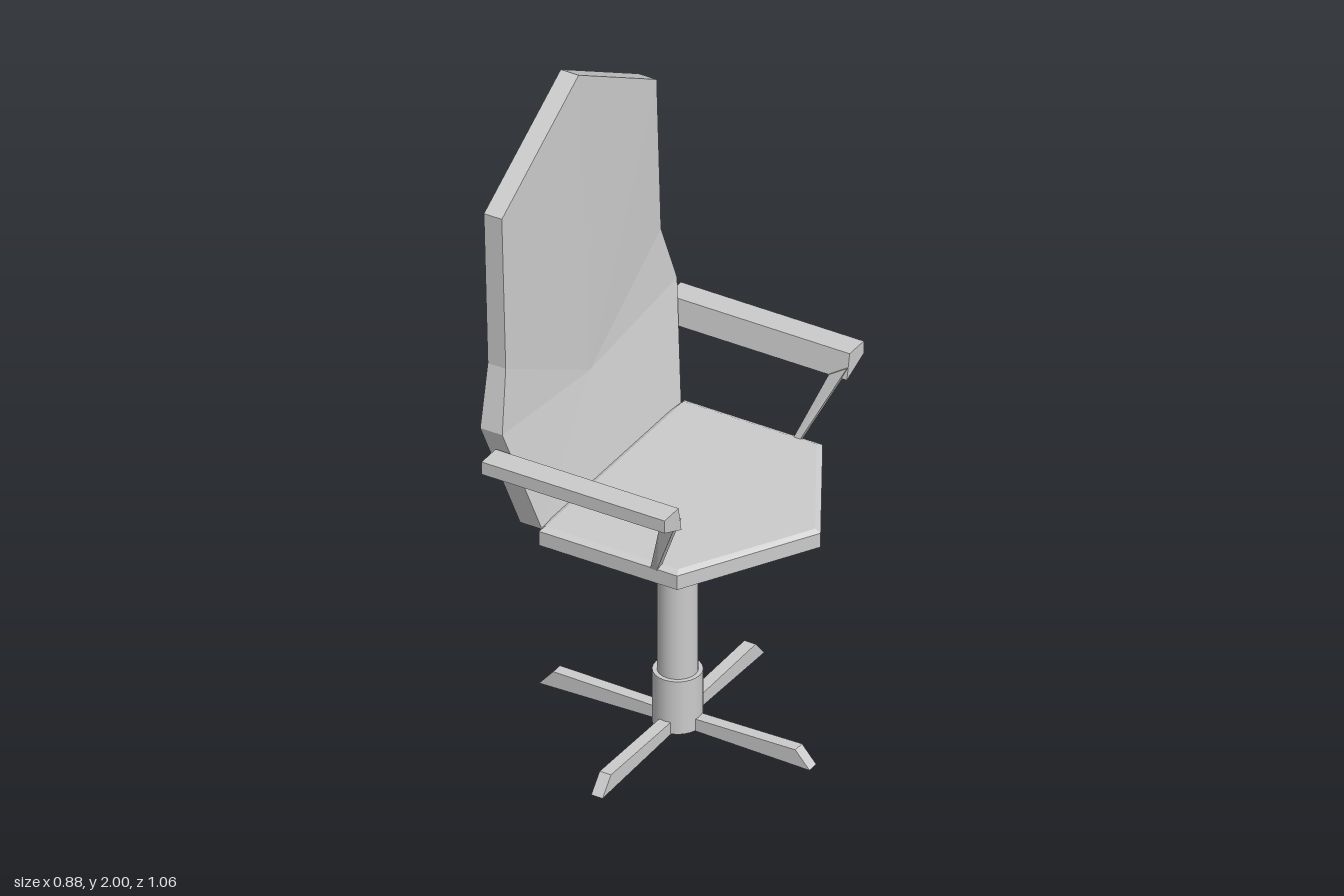
import * as THREE from 'three';
import { ConvexGeometry } from 'three/addons/geometries/ConvexGeometry.js';

const material = new THREE.MeshStandardMaterial({ color: 0xcccccc, flatShading: true });
const smooth = new THREE.MeshStandardMaterial({ color: 0xcccccc });
const AXIS_X = -0.015; // pedestal axis

function add(group, name, geometry, mat = material) {
  const mesh = new THREE.Mesh(geometry, mat);
  mesh.name = name;
  group.add(mesh);
  return mesh;
}

// Solid block spanned by its corner points
const solid = (points) => new ConvexGeometry(points.map((p) => new THREE.Vector3(...p)));

// Faceted backrest: front and back fans around a centre point, joined by a rim
function backrestGeometry() {
  // half outline: y, z, front x, back x
  const half = [
    [0.765, 0.37, -0.225, -0.295],
    [1.1, 0.465, -0.295, -0.365],
    [1.28, 0.413, -0.315, -0.372],
    [1.76, 0.412, -0.328, -0.385],
    [2.0, 0, -0.33, -0.387],
  ];
  const mirrored = half.map(([y, z, f, b]) => [y, -z, f, b]);
  const loop = [half[0], ...mirrored, ...half.slice(1, 4).reverse()];
  const front = loop.map(([y, z, f]) => [f, y, z]);
  const back = loop.map(([y, z, , b]) => [b, y, z]);
  const frontCentre = [-0.295, 1.055, 0];
  const backCentre = [-0.357, 1.055, 0];
  const out = [];
  loop.forEach((_, i) => {
    const j = (i + 1) % loop.length;
    out.push(frontCentre, front[i], front[j]);
    out.push(backCentre, back[j], back[i]);
    out.push(front[i], back[i], back[j], front[i], back[j], front[j]);
  });
  const geometry = new THREE.BufferGeometry();
  geometry.setAttribute('position', new THREE.Float32BufferAttribute(out.flat(), 3));
  geometry.computeVertexNormals();
  return geometry;
}

// Six-sided seat with a bevelled top and a shallow pointed underside
function seatGeometry() {
  const outline = [[0.44, 0], [0.215, 0.387], [-0.225, 0.387], [-0.29, 0], [-0.225, -0.387], [0.215, -0.387]];
  const points = [];
  outline.forEach(([x, z], i) => {
    const drop = i === 3 ? 0.02 : 0; // rear corner hangs lower
    points.push([x, 0.768 - drop, z], [x, 0.723 - drop, z]);
    if (i !== 3) points.push([x * 0.96, 0.777, z * 0.95]);
  });
  for (const x of [-0.07, 0.04]) for (const z of [-0.055, 0.055]) points.push([x, 0.668, z]);
  return solid(points);
}

export function createModel() {
  const chair = new THREE.Group();
  chair.name = 'swivelChair';

  add(chair, 'seat', seatGeometry());
  add(chair, 'backrest', backrestGeometry());

  // Pedestal
  add(chair, 'post', new THREE.CylinderGeometry(0.057, 0.057, 0.52, 24), smooth).position.set(AXIS_X, 0.42, 0);
  add(chair, 'hub', new THREE.CylinderGeometry(0.07, 0.07, 0.17, 24), smooth).position.set(AXIS_X, 0.095, 0);

  // Four legs with slanted tips
  for (let i = 0; i < 4; i++) {
    const points = [];
    for (const s of [-1, 1]) {
      points.push([0, 0.01, s * 0.018], [0.43, 0, s * 0.018], [0.385, 0.052, s * 0.018], [0, 0.046, s * 0.018]);
    }
    const leg = add(chair, 'leg' + (i + 1), solid(points));
    leg.position.x = AXIS_X;
    leg.rotation.y = (i * Math.PI) / 2;
  }

  // Armrests and their slanted struts
  for (const [side, s] of [['left', 1], ['right', -1]]) {
    const section = [[1.04, 0.53], [1.0, 0.53], [0.962, 0.44], [1.04, 0.455]];
    const bar = [-0.322, 0.26].flatMap((x) => section.map(([y, z]) => [x, y, s * z]));
    add(chair, side + 'Armrest', solid(bar));
    const strut = [
      [0.26, 1.0, 0.465], [0.26, 1.0, 0.44], [0.205, 0.965, 0.465], [0.205, 0.965, 0.435],
      [0.15, 0.765, 0.388], [0.15, 0.765, 0.363], [0.13, 0.765, 0.388], [0.13, 0.765, 0.363],
    ];
    add(chair, side + 'Strut', solid(strut.map(([x, y, z]) => [x, y, s * z])));
  }

  return chair;
}
